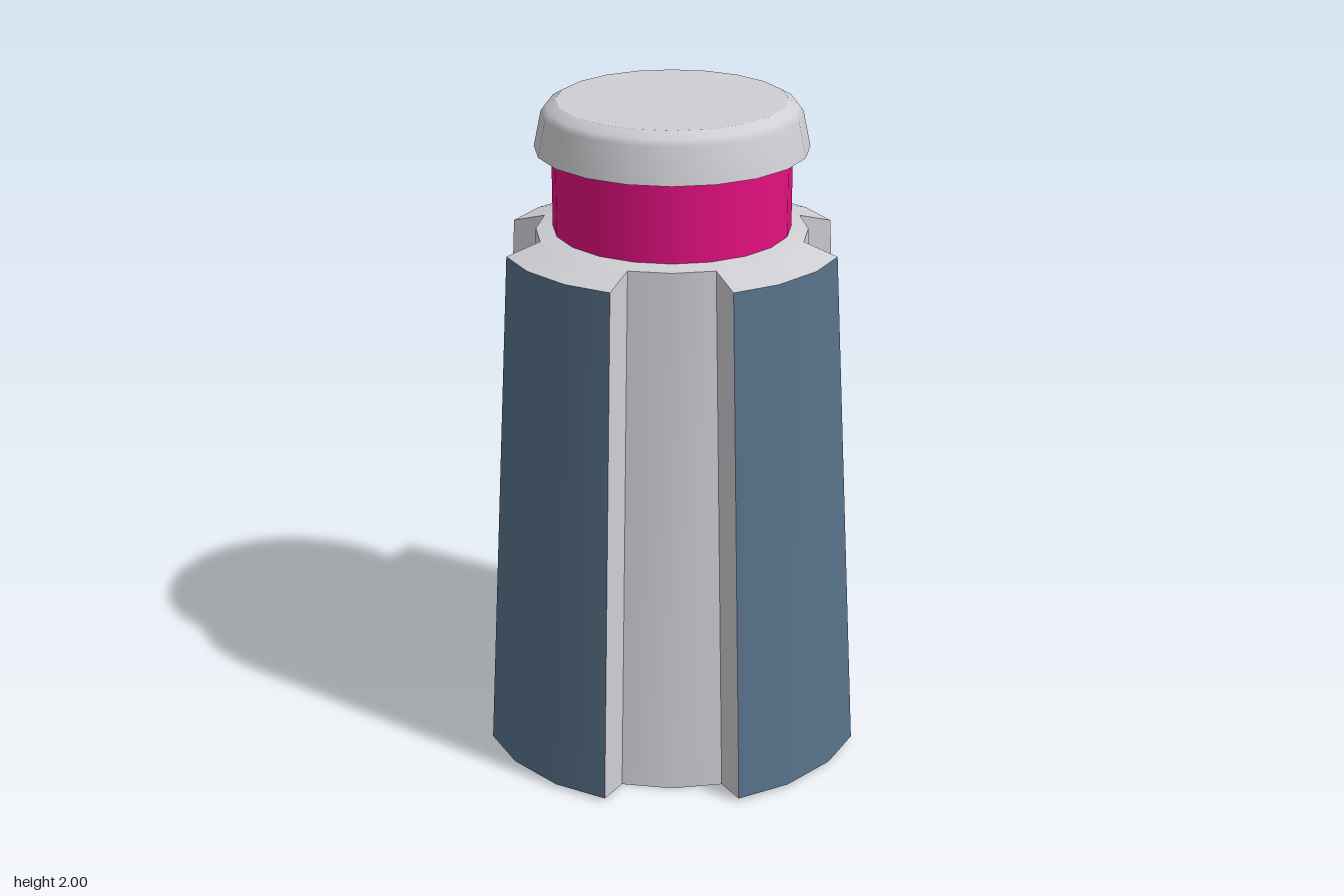
import * as THREE from 'three';

const paint = (name, color) => {
  const m = new THREE.MeshStandardMaterial({ color, side: THREE.DoubleSide });
  m.name = name;
  return m;
};

// Point on a ring: angle in degrees from the front, turning towards +x
const ringPoint = (deg, r, y) => {
  const a = THREE.MathUtils.degToRad(deg);
  return [r * Math.sin(a), y, r * Math.cos(a)];
};
const row = (angles, r, y) => angles.map((a) => ringPoint(a, r, y));

// Smooth strip between a lower and an upper row of points
function strip(lower, upper) {
  const n = lower.length;
  const index = [];
  for (let i = 0; i < n - 1; i++) index.push(i, i + 1, n + i + 1, i, n + i + 1, n + i);
  const g = new THREE.BufferGeometry();
  g.setAttribute('position', new THREE.Float32BufferAttribute([...lower, ...upper].flat(), 3));
  g.setIndex(index);
  g.computeVertexNormals();
  return g;
}

export function createModel() {
  const model = new THREE.Group();
  model.name = 'capsule';
  const grey = paint('light grey', 0xcfced3);
  const blue = paint('slate blue', 0x577189);
  const pink = paint('magenta', 0xe2107f);

  const add = (parent, name, geometry, material) => {
    const mesh = new THREE.Mesh(geometry, material);
    mesh.name = name;
    parent.add(mesh);
  };
  const lathe = (points) =>
    new THREE.LatheGeometry(points.map(([r, y]) => new THREE.Vector2(r, y)), 20);

  // Tapered open body: four grooves and four raised ribs
  const outer = [19.65, 36, 54, 70.35];
  const inner = [18, 36, 54, 72];
  const ribLow = row(outer, 0.594, 0.01);
  const ribHigh = row(outer, 0.505, 1.58);
  const shoulder = row(inner, 0.4, 1.61);
  const floorLow = row(inner, 0.487, 0);

  for (let k = 0; k < 4; k++) {
    const quarter = new THREE.Group();
    quarter.name = 'bodyQuarter' + (k + 1);
    quarter.rotation.y = (k * Math.PI) / 2;
    const groove = [-18, 0, 18];
    add(quarter, 'grooveFloor', strip(row(groove, 0.487, 0), row(groove, 0.4, 1.61)), grey);
    add(quarter, 'ribPanel', strip(ribLow, ribHigh), blue);
    add(quarter, 'ribTop', strip(ribHigh, shoulder), grey);
    add(quarter, 'ribSideA', strip([floorLow[0], ribLow[0]], [shoulder[0], ribHigh[0]]), grey);
    add(quarter, 'ribSideB', strip([ribLow[3], floorLow[3]], [ribHigh[3], shoulder[3]]), grey);
    model.add(quarter);
  }

  // Shoulder, neck and rounded cap
  add(model, 'shoulderRing', lathe([[0.4, 1.61], [0.35, 1.62]]), grey);
  add(model, 'neck', lathe([[0.35, 1.62], [0.35, 1.86]]), pink);
  add(model, 'capUnderside', lathe([[0.35, 1.86], [0.4, 1.86]]), grey);
  add(model, 'capRim', lathe([[0.4, 1.86], [0.378, 1.965], [0.365, 1.983], [0.335, 2]]), grey);
  add(model, 'capTop', lathe([[0.335, 2], [0, 2]]), grey);
  return model;
}
